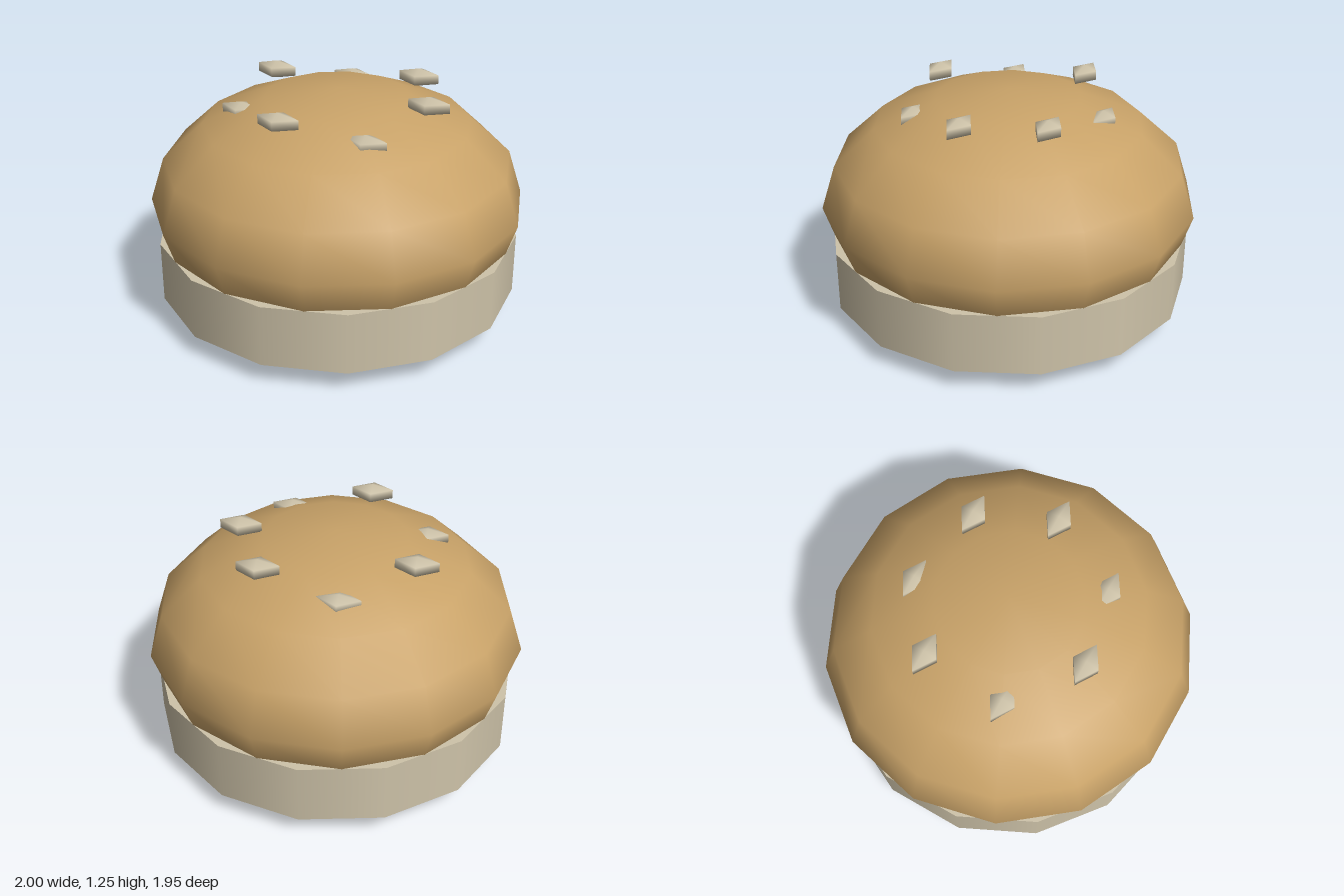
import * as THREE from 'three';

export function createModel() {
  const model = new THREE.Group();
  const crust = new THREE.MeshStandardMaterial({ color: 0xc8a268 });
  crust.name = 'golden crust';
  const cream = new THREE.MeshStandardMaterial({ color: 0xcec3a9 });
  cream.name = 'pale cream';

  function add(name, geometry, material, x, y, z) {
    const mesh = new THREE.Mesh(geometry, material);
    mesh.name = name;
    mesh.position.set(x, y, z);
    model.add(mesh);
    return mesh;
  }

  // Domed bun: a flattened low-poly ball that also shows below the band
  const bun = add('bun', new THREE.SphereGeometry(1, 14, 8), crust, 0, 0.62, 0);
  bun.scale.y = 0.617;

  // Wide band around the lower half
  add('band', new THREE.CylinderGeometry(0.97, 0.97, 0.33, 14), cream, 0, 0.29, 0);

  // Ring of seeds, alternately raised and sunk into the crust
  const seedGeometry = new THREE.SphereGeometry(1, 4, 3);
  const count = 7;
  for (let i = 0; i < count; i++) {
    const angle = (i / count) * Math.PI * 2;
    const y = i % 2 === 0 ? 1.207 : 1.12;
    const seed = add('seed', seedGeometry, cream, Math.cos(angle) * 0.5, y, Math.sin(angle) * 0.5);
    seed.scale.set(0.128, 0.049, 0.08);
  }

  return model;
}
